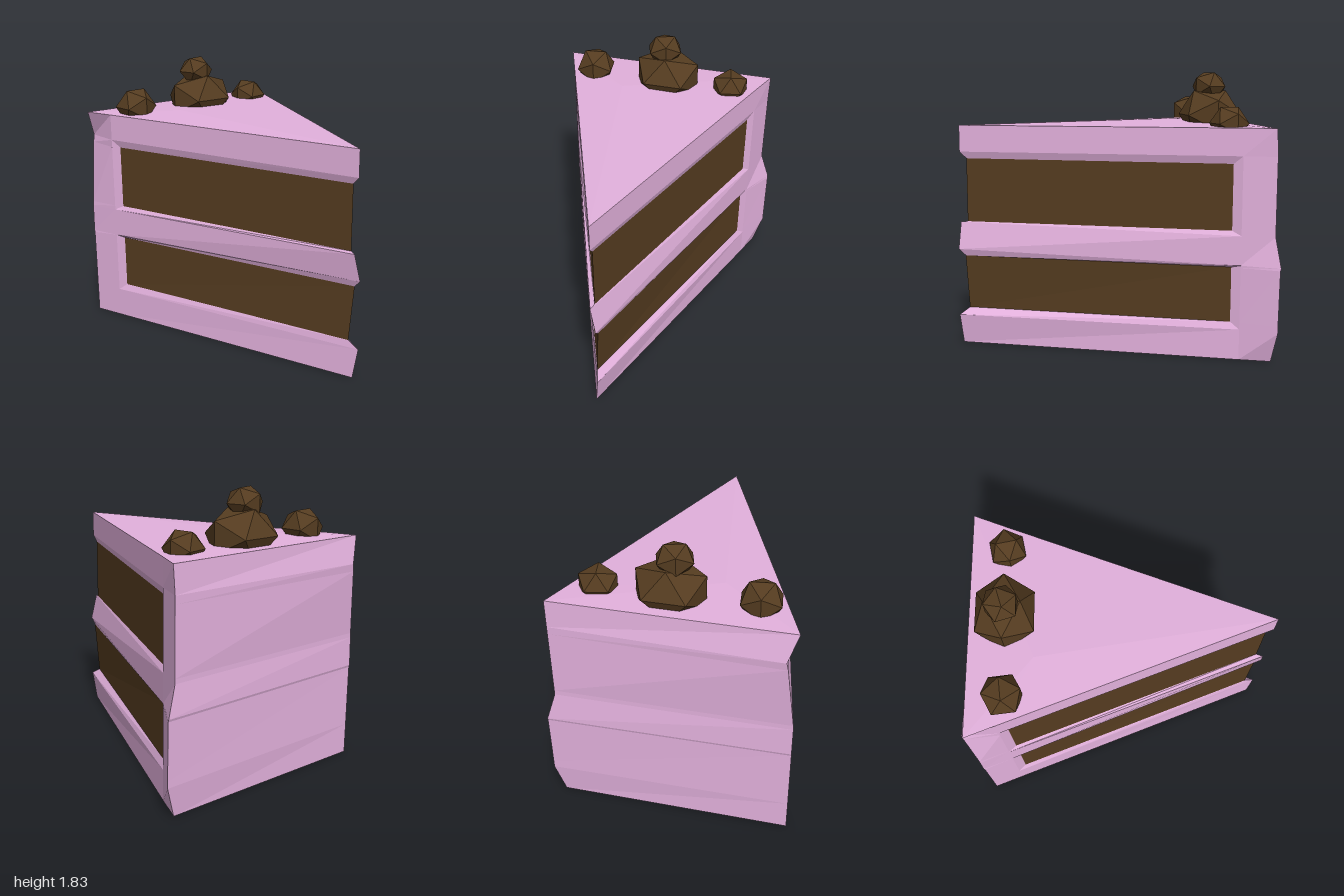
import * as THREE from 'three';

const PINK = 0xe3b1dd, CHOCOLATE = 0x553c20;

// Heights of the slice from bottom to top:
// y at the rim, y at the tip, recessed?, front corner [x, z], back corner [x, z], tip [x, z]
const LEVELS = [
  [0.00, 0.00, false, [-0.96, 0.77], [-0.96, -0.71], [0.97, 0.03]],
  [0.20, 0.20, false, [-0.96, 0.77], [-0.98, -0.77], [0.995, 0.01]],
  [0.245, 0.245, true, [-0.96, 0.77], [-0.98, -0.77], [0.925, 0.03]],
  [0.605, 0.61, true, [-0.96, 0.77], [-0.985, -0.77], [0.945, 0.01]],
  [0.62, 0.655, false, [-0.965, 0.77], [-0.99, -0.77], [0.99, 0.01]],
  [0.81, 0.835, false, [-0.96, 0.77], [-0.97, -0.71], [0.97, 0.045]],
  [0.84, 0.84, true, [-0.96, 0.768], [-0.97, -0.71], [0.925, 0.03]],
  [1.265, 1.265, true, [-0.995, 0.72], [-0.97, -0.71], [0.925, 0.03]],
  [1.315, 1.31, false, [-1.0, 0.71], [-0.97, -0.71], [0.97, 0.03]],
  [1.49, 1.485, false, [-0.96, 0.77], [-0.96, -0.715], [0.97, 0.03]],
];

// One ring, counter-clockwise from above:
// back corner, front corner, front post, front panel, tip, back panel, back post
function ring([y, yTip, recessed, front, back, tip]) {
  const point = ([x, z], h = y) => new THREE.Vector3(x, h, z);
  const frontPost = [-0.77, 0.697], backPost = [-0.77, -0.64];
  return [
    point(back), point(front), point(frontPost),
    point(recessed ? [-0.72, 0.66] : frontPost),
    point(tip, yTip),
    point(recessed ? [-0.72, -0.602] : backPost),
    point(backPost),
  ];
}

function facetedMesh(name, triangles, color) {
  const solid = triangles.filter(([a, b, c]) =>
    a.distanceTo(b) > 1e-6 && b.distanceTo(c) > 1e-6 && c.distanceTo(a) > 1e-6);
  const geometry = new THREE.BufferGeometry().setFromPoints(solid.flat());
  geometry.computeVertexNormals();
  const mesh = new THREE.Mesh(geometry, new THREE.MeshStandardMaterial({ color, flatShading: true }));
  mesh.name = name;
  return mesh;
}

function berry(name, x, y, z, size, turn = 0) {
  const mesh = new THREE.Mesh(
    new THREE.IcosahedronGeometry(1, 0),
    new THREE.MeshStandardMaterial({ color: CHOCOLATE, flatShading: true }));
  mesh.name = name;
  mesh.position.set(x, y, z);
  mesh.scale.set(...size);
  mesh.rotation.y = turn;
  return mesh;
}

export function createModel() {
  const group = new THREE.Group();
  group.name = 'cakeSlice';

  // Walls: panels between two recessed rings are sponge, all else is icing
  const rings = LEVELS.map(ring);
  const icing = [], sponge = [];
  const count = rings[0].length;
  for (let k = 0; k < rings.length - 1; k++) {
    const low = rings[k], high = rings[k + 1];
    const recessed = LEVELS[k][2] && LEVELS[k + 1][2];
    for (let i = 0; i < count; i++) {
      const j = (i + 1) % count;
      const target = recessed && (i === 3 || i === 4) ? sponge : icing;
      target.push([low[i], low[j], high[j]], [low[i], high[j], high[i]]);
    }
  }

  // Bottom and slightly domed top
  const bottom = rings[0], top = rings[rings.length - 1];
  const under = new THREE.Vector3(-0.4, 0, 0.03);
  const crown = new THREE.Vector3(-0.55, 1.505, 0.27);
  for (let i = 0; i < count; i++) {
    const j = (i + 1) % count;
    icing.push([under, bottom[j], bottom[i]], [crown, top[i], top[j]]);
  }
  group.add(facetedMesh('icing', icing, PINK));
  group.add(facetedMesh('spongeLayers', sponge, CHOCOLATE));

  // Chocolate balls along the rim
  group.add(
    berry('frontBall', -0.73, 1.535, 0.515, [0.14, 0.135, 0.14], Math.PI / 2 + 0.12),
    berry('backBall', -0.73, 1.51, -0.46, [0.125, 0.12, 0.135], 0.2),
    berry('largeBall', -0.73, 1.545, -0.015, [0.215, 0.19, 0.25]),
    berry('topBall', -0.73, 1.735, 0.01, [0.125, 0.11, 0.12], Math.PI / 2 + 0.3),
  );
  return group;
}
